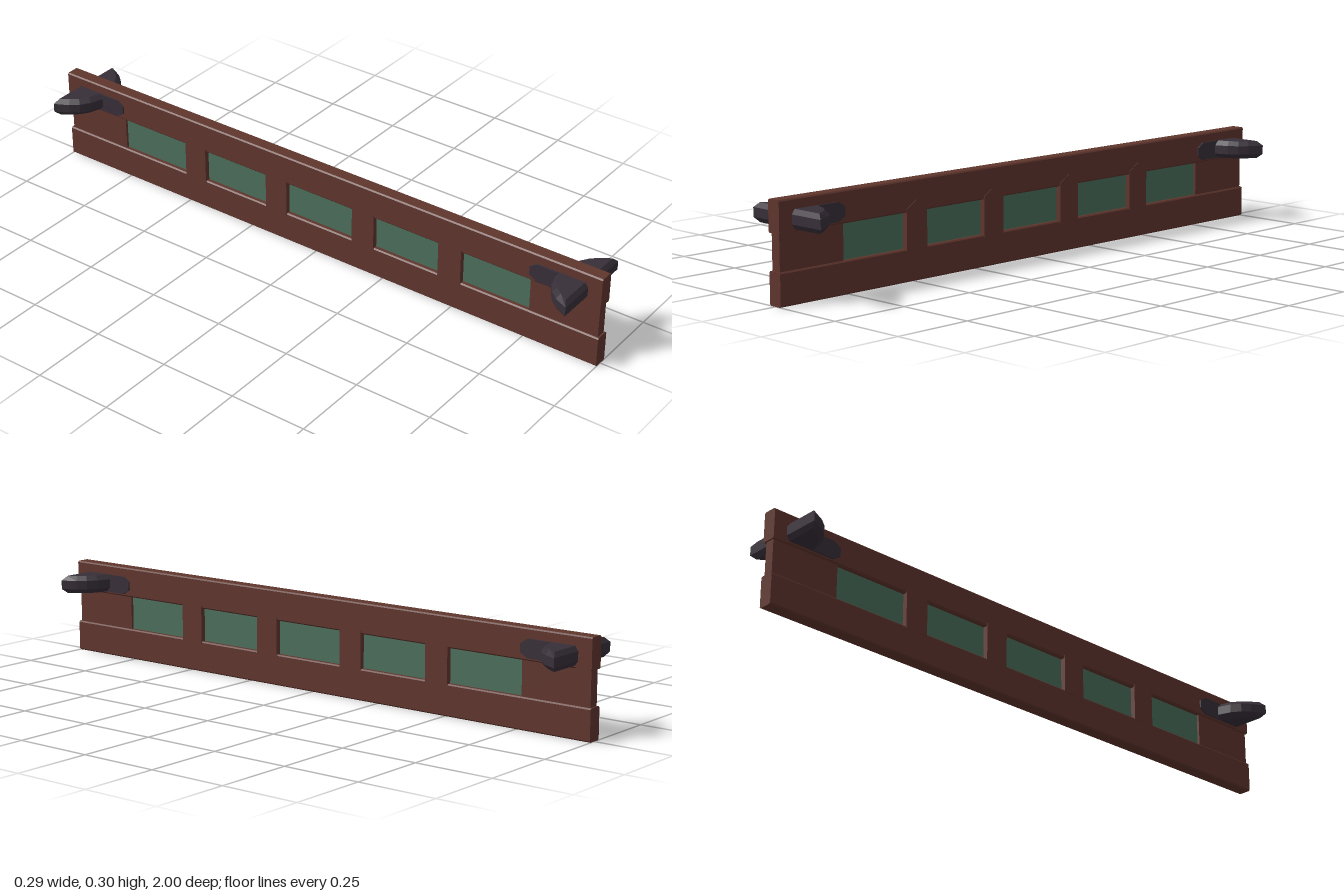
import * as THREE from 'three';

const mat = (name, color) => {
  const m = new THREE.MeshStandardMaterial({ color });
  m.name = name;
  return m;
};

// Closed outline through a list of points
const outline = (points) => new THREE.Shape(points.map(([a, b]) => new THREE.Vector2(a, b)));

// Rectangle with cut corners
const cutRect = (a0, a1, b0, b1, ca, cb) => outline([
  [a0 + ca, b0], [a1 - ca, b0], [a1, b0 + cb], [a1, b1 - cb],
  [a1 - ca, b1], [a0 + ca, b1], [a0, b1 - cb], [a0, b0 + cb],
]);

// Centred extrusion along z
const prism = (shape, depth) =>
  new THREE.ExtrudeGeometry(shape, { depth, bevelEnabled: false }).translate(0, 0, -depth / 2);

// Centred extrusion along x of a (z, y) outline
const sidePrism = (shape, width) => prism(shape, width).rotateY(-Math.PI / 2);

export function createModel() {
  const wood = mat('redBrownWood', 0x5f352d);
  const glass = mat('greenGlass', 0x4b6e5c);
  const iron = mat('darkIron', 0x372f38);

  const model = new THREE.Group();
  model.name = 'windowedBeam';
  const add = (name, geometry, material, parent = model) => {
    const mesh = new THREE.Mesh(geometry, material);
    mesh.name = name;
    parent.add(mesh);
    return mesh;
  };

  // Long rails with slightly cut edges
  const half = 0.023;
  add('bottomRail', prism(cutRect(-half, half, 0, 0.098, 0.004, 0.004), 2), wood);
  add('topRail', prism(cutRect(-half, half, 0.205, 0.3, 0.004, 0.004), 2), wood);

  // Solid web panels at both ends
  for (const s of [1, -1]) {
    add('endPanel', new THREE.BoxGeometry(0.032, 0.13, 0.23).translate(0, 0.15, s * 0.88), wood);
  }

  // Recessed glass strip, divided by the posts
  add('windowGlass', new THREE.BoxGeometry(0.016, 0.13, 1.54).translate(0, 0.15, 0), glass);

  // Pointed posts between the windows
  for (const z of [0.491, 0.178, -0.15, -0.47]) {
    const shape = outline([
      [z - 0.04, 0.09], [z + 0.04, 0.09], [z + 0.04, 0.215], [z, 0.24], [z - 0.04, 0.215],
    ]);
    add('post', sidePrism(shape, 0.049), wood);
  }

  // Half-round fins with a mounting plate near each end
  const curve = [[0.028, 0.85], [0.07, 0.864], [0.1, 0.884], [0.122, 0.91], [0.145, 0.955]];
  const finOutline = outline([...curve, ...curve.map(([x, z]) => [-x, z]).reverse()]);
  const finGeometry = new THREE.ExtrudeGeometry(finOutline, {
    depth: 0.028, bevelThickness: 0.0145, bevelSize: 0.014, bevelOffset: -0.014, bevelSegments: 1,
  }).rotateX(Math.PI / 2).translate(0, 0.2555, 0);
  const plateGeometry = sidePrism(cutRect(0.765, 0.95, 0.213, 0.27, 0.024, 0.015), 0.056);

  for (const [name, turn] of [['frontFin', 0], ['backFin', Math.PI]]) {
    const group = new THREE.Group();
    group.name = name;
    group.rotation.y = turn;
    add('fin', finGeometry, iron, group);
    // The plate is split so the rail end stays visible from the front
    add('mountingPlate', plateGeometry, iron, group);
    add('railCap', new THREE.BoxGeometry(0.046, 0.07, 0.05).translate(0, 0.24, 0.972), wood, group);
    model.add(group);
  }
  return model;
}
